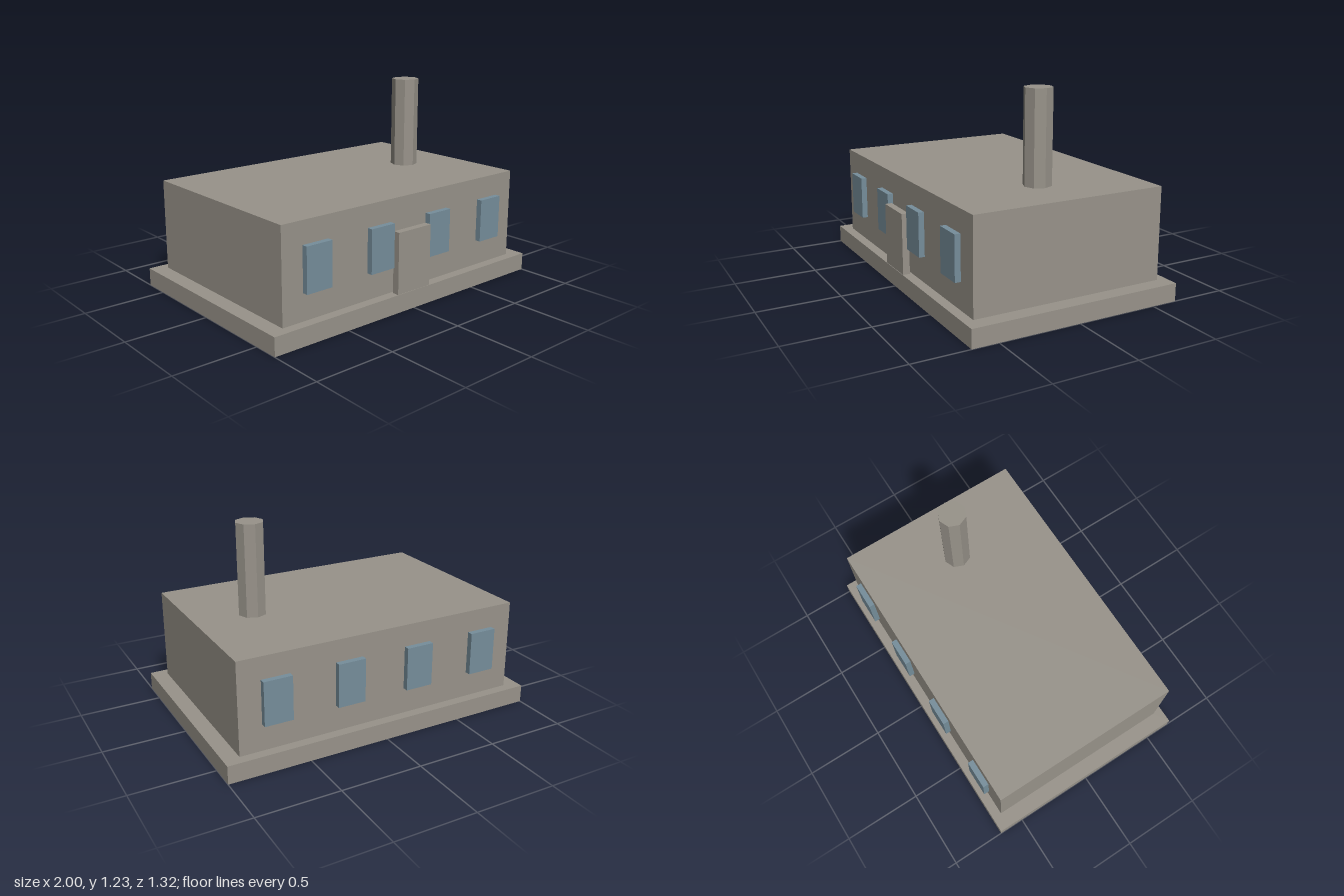
import * as THREE from 'three';

export function createModel() {
  const model = new THREE.Group();
  const concrete = new THREE.MeshStandardMaterial({ color: 0x98938a, flatShading: true });
  concrete.name = 'concrete';
  const glass = new THREE.MeshStandardMaterial({ color: 0x768e9b, flatShading: true });
  glass.name = 'blue glass';

  function add(name, geometry, material, x, y, z) {
    const mesh = new THREE.Mesh(geometry, material);
    mesh.name = name;
    mesh.position.set(x, y, z);
    model.add(mesh);
  }

  // Plinth and main block
  add('base', new THREE.BoxGeometry(2, 0.11, 1.32), concrete, 0, 0.055, 0);
  add('walls', new THREE.BoxGeometry(1.81, 0.56, 1.2), concrete, 0, 0.39, 0);

  // Eight-sided chimney
  add('chimney', new THREE.CylinderGeometry(0.085, 0.085, 0.56, 8), concrete, 0.545, 0.95, 0);

  // Door slab standing just clear of the front wall
  add('door', new THREE.BoxGeometry(0.253, 0.372, 0.043), concrete, -0.002, 0.296, 0.6355);

  // Four projecting windows on the front and on the back
  const pane = new THREE.BoxGeometry(0.173, 0.265, 0.035);
  for (const [side, z] of [['front', 0.6175], ['back', -0.6175]]) {
    [-0.682, -0.228, 0.226, 0.68].forEach((x, i) => {
      add(`${side}Window${i + 1}`, pane, glass, x, 0.403, z);
    });
  }
  return model;
}
